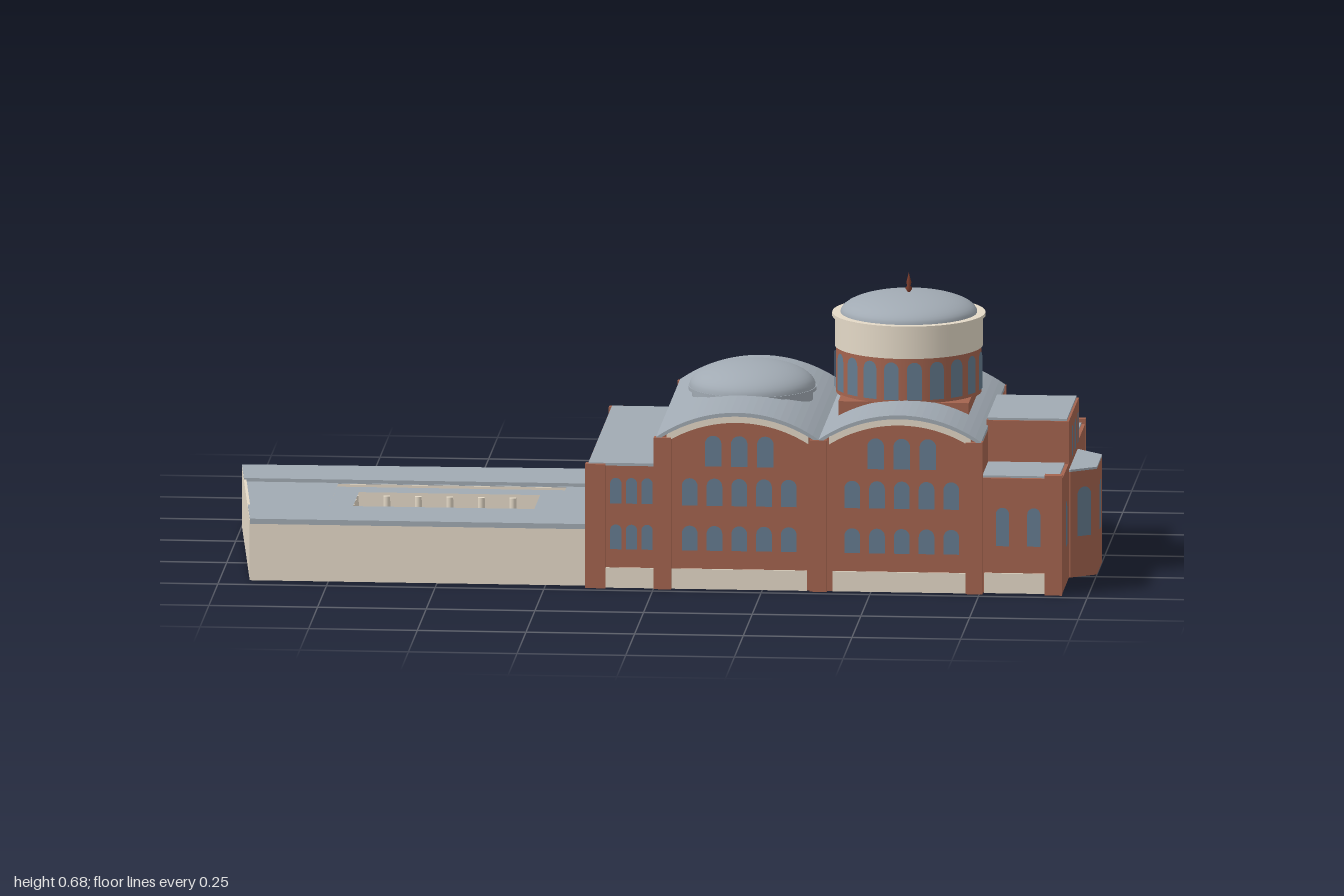
import * as THREE from 'three';

const mat = (name, color, side = THREE.FrontSide) => {
  const m = new THREE.MeshStandardMaterial({ color, side });
  m.name = name;
  return m;
};

export function createModel() {
  const model = new THREE.Group();
  const brick = mat('brick', 0xa4644f, THREE.DoubleSide);
  const cream = mat('cream stone', 0xe4d9c7);
  const lead = mat('lead roof', 0xa1aab3);
  const glass = mat('window glass', 0x657c90);
  const bronze = mat('finial bronze', 0x7a3b2b);

  const add = (name, geo, material, x = 0, y = 0, z = 0, ry = 0) => {
    const m = new THREE.Mesh(geo, material);
    m.name = name;
    m.position.set(x, y, z);
    m.rotation.y = ry;
    model.add(m);
    return m;
  };
  // Box given by its limits
  const block = (name, material, x0, x1, y0, y1, z0, z1) =>
    add(name, new THREE.BoxGeometry(x1 - x0, y1 - y0, z1 - z0), material,
      (x0 + x1) / 2, (y0 + y1) / 2, (z0 + z1) / 2);
  // Brick box standing on the ground without a floor
  const shell = (name, x0, x1, h, z0, z1) => {
    const g = block(name, brick, x0, x1, 0, h, z0, z1).geometry;
    g.setIndex([...g.index.array].filter((_, i) => i < 18 || i >= 24));
    g.clearGroups();
  };
  // Horizontal slab from a plan outline of [x, z] points, with optional hole
  const slab = (name, material, pts, y0, y1, hole) => {
    const outline = p => p.map(([x, z]) => new THREE.Vector2(x, -z));
    const s = new THREE.Shape(outline(pts));
    if (hole) s.holes.push(new THREE.Path(outline(hole)));
    const g = new THREE.ExtrudeGeometry(s, { depth: y1 - y0, bevelEnabled: false });
    return add(name, g.rotateX(-Math.PI / 2), material, 0, y0, 0);
  };
  const rect = (x0, x1, z0, z1) => [[x0, z0], [x1, z0], [x1, z1], [x0, z1]];
  // Thin upright wall between two plan points
  const wall = (name, a, b, h, t = 0.006) => {
    const dx = b[0] - a[0], dz = b[1] - a[1];
    add(name, new THREE.BoxGeometry(Math.hypot(dx, dz), h, t), cream,
      (a[0] + b[0]) / 2, h / 2, (a[1] + b[1]) / 2, -Math.atan2(dz, dx));
  };
  // Round-headed window; y is the sill
  const windowPane = (w, h, x, y, z, ry = 0) => {
    const s = new THREE.Shape();
    s.moveTo(-w / 2, 0);
    s.lineTo(w / 2, 0);
    s.lineTo(w / 2, h - w / 2);
    s.absarc(0, h - w / 2, w / 2, 0, Math.PI, false);
    add('window', new THREE.ShapeGeometry(s, 6), glass, x, y, z, ry);
  };
  const ZF = 0.465, ZB = -0.193;
  // Window row repeated on front and back walls
  const frontBackRow = (cx, n, step, w, h, y, zf = ZF, zb = ZB) => {
    for (let i = 0; i < n; i++) {
      const x = cx + (i - (n - 1) / 2) * step;
      windowPane(w, h, x, y, zf + 0.003);
      windowPane(w, h, x, y, zb - 0.003, Math.PI);
    }
  };
  const plinth = (x0, x1, zf = ZF, zb = ZB) => {
    block('plinth', cream, x0, x1, 0, 0.047, zf, zf + 0.004);
    block('plinth', cream, x0, x1, 0, 0.047, zb - 0.004, zb);
  };

  // Low entrance hall on the west
  shell('entranceHall', -0.153, 0.005, 0.285, ZB, ZF);
  block('entranceHallRoof', lead, -0.15, 0.01, 0.2855, 0.292, ZB - 0.002, ZF + 0.004);
  frontBackRow(-0.051, 3, 0.036, 0.026, 0.06, 0.197);
  frontBackRow(-0.051, 3, 0.036, 0.026, 0.058, 0.09);
  plinth(-0.11, 0);
  for (let i = 0; i < 9; i++) windowPane(0.028, 0.06, -0.156, 0.2, -0.13 + i * 0.066, -Math.PI / 2);

  // Two barrel-vaulted bays
  const half = 0.187, spring = 0.345;
  const arcPoints = (w, y, rise) => {
    const R = (w * w + rise * rise) / (2 * rise), a = Math.asin(w / R), p = [];
    for (let i = 0; i <= 24; i++) {
      const t = a - (2 * a * i) / 24;
      p.push(new THREE.Vector2(R * Math.sin(t), y + rise - R + R * Math.cos(t)));
    }
    return p;
  };
  const extrudeZ = (name, pts, z0, z1, material, cx) => add(name,
    new THREE.ExtrudeGeometry(new THREE.Shape(pts), { depth: z1 - z0, bevelEnabled: false }), material, cx, 0, z0);
  const band = (w, top, bottom, rise) => [...arcPoints(w, top, rise), ...arcPoints(w, bottom, rise).reverse()];
  for (const cx of [0.193, 0.567]) {
    shell('vaultedBay', cx - half, cx + half, spring, ZB, ZF);
    extrudeZ('bayGable', arcPoints(half, spring, 0.06), ZB, ZF, brick, cx);
    extrudeZ('vaultRoof', band(half, spring + 0.01, spring + 0.001, 0.06), ZB - 0.009, ZF + 0.01, lead, cx);
    for (const z of [ZF, ZB - 0.008])
      extrudeZ('archTrim', band(0.163, spring + 0.016, spring - 0.001, 0.047), z, z + 0.008, cream, cx);
    frontBackRow(cx + 0.004, 3, 0.06, 0.038, 0.072, 0.287);
    for (const [y, h] of [[0.195, 0.064], [0.09, 0.058]]) frontBackRow(cx + 0.004, 5, 0.057, 0.036, h, y);
    plinth(cx - 0.155, cx + 0.16);
  }

  // East wing with raised centre
  shell('eastWing', 0.754, 0.939, 0.268, -0.19, 0.457);
  for (const [z0, z1] of [[-0.183, -0.005], [0.287, 0.45]])
    block('eastWingRoof', lead, 0.755, 0.931, 0.2685, 0.273, z0, z1);
  block('sanctuary', brick, 0.75, 0.94, 0.268, 0.368, 0, 0.28);
  block('sanctuaryRoof', lead, 0.752, 0.935, 0.366, 0.373, 0.005, 0.275);
  frontBackRow(0.838, 2, 0.072, 0.03, 0.09, 0.11, 0.457, -0.19);
  plinth(0.76, 0.9, 0.457, -0.19);
  for (const z of [0.37, -0.097]) windowPane(0.042, 0.105, 0.942, 0.095, z, Math.PI / 2);
  for (const z of [0.215, 0.138, 0.061]) windowPane(0.04, 0.072, 0.943, 0.275, z, Math.PI / 2);

  // Faceted apse
  const apse = [[0.935, 0.265], [0.943, 0.265], [1, 0.224], [1, 0.08], [0.943, 0.024], [0.935, 0.024]];
  slab('apse', brick, apse, 0, 0.247);
  slab('apseRoof', lead, apse, 0.247, 0.252);
  for (const [i, w] of [[1, 0.036], [2, 0.042], [3, 0.042]]) {
    const [a, b] = [apse[i], apse[i + 1]];
    const ry = Math.atan2(a[1] - b[1], b[0] - a[0]);
    windowPane(w, 0.115, (a[0] + b[0]) / 2 + 0.002 * Math.sin(ry), 0.095,
      (a[1] + b[1]) / 2 + 0.002 * Math.cos(ry), ry);
  }

  // Pilasters on front and back: x start, x end, height
  for (const [x0, x1, h] of [[-0.157, -0.11, 0.29], [0.001, 0.041, 0.354], [0.36, 0.399, 0.354],
    [0.718, 0.757, 0.354], [0.9, 0.94, 0.28]]) {
    block('pilaster', brick, x0, x1, 0, h, 0.454, 0.478);
    block('pilaster', brick, x0, x1, 0, h, -0.205, -0.186);
  }

  // Domes
  const dome = (name, r, h, x, y, z) => {
    const p = [];
    for (let i = 0; i <= 14; i++) {
      const t = (i / 14) * Math.PI / 2;
      p.push(new THREE.Vector2(i === 14 ? 0 : r * Math.cos(t), h * Math.sin(t)));
    }
    add(name, new THREE.LatheGeometry(p, 48), lead, x, y, z);
  };
  const drum = (name, r, y0, y1, x, z, material) =>
    add(name, new THREE.CylinderGeometry(r, r, y1 - y0, 48), material, x, (y0 + y1) / 2, z);
  drum('lowDrum', 0.139, 0.35, 0.405, 0.2, 0.13, lead);
  drum('lowDomeRim', 0.147, 0.403, 0.411, 0.2, 0.13, lead);
  dome('lowDome', 0.145, 0.058, 0.2, 0.411, 0.13);

  const DX = 0.56, DZ = 0.136;
  block('drumBase', brick, DX - 0.15, DX + 0.15, 0.35, 0.408, DZ - 0.147, DZ + 0.15);
  drum('drum', 0.167, 0.405, 0.515, DX, DZ, brick);
  for (let i = 0; i < 20; i++) {
    const a = ((i + 0.5) / 20) * Math.PI * 2;
    windowPane(0.034, 0.088, DX + 0.1695 * Math.sin(a), 0.416, DZ + 0.1695 * Math.cos(a), a);
  }
  drum('drumUpperBand', 0.17, 0.513, 0.585, DX, DZ, cream);
  drum('drumCornice', 0.176, 0.582, 0.59, DX, DZ, cream);
  dome('mainDome', 0.157, 0.047, DX, 0.59, DZ);
  const spike = [[0, 0], [0.004, 0], [0.004, 0.006], [0.008, 0.012], [0.004, 0.019], [0.006, 0.026], [0, 0.05]];
  add('finial', new THREE.LatheGeometry(spike.map(p => new THREE.Vector2(...p)), 12), bronze, DX, 0.632, DZ);

  // Walled forecourt on the west, open to the sky in the middle
  const edge = z => -0.98 + z * 0.111;
  const H = 0.14, z1 = -0.02, z2 = 0.285;
  const north = [[-1, -0.178], [-0.153, -0.195], [-0.153, z1], [edge(z1), z1]];
  const south = [[edge(z2), z2], [-0.153, z2], [-0.153, 0.45], [-0.93, 0.45]];
  slab('northRangeRoof', lead, north, H - 0.008, H + 0.004);
  slab('southRangeRoof', lead, south, H - 0.008, H + 0.004);
  slab('courtRoof', lead, [[edge(z1), z1], [-0.153, z1], [-0.153, z2], [edge(z2), z2]], H - 0.018, H - 0.004,
    rect(-0.765, -0.24, z1 + 0.003, z2 - 0.003));
  slab('cloisterRoof', lead, rect(-0.768, -0.237, z1, z2), H - 0.024, H - 0.012, rect(-0.713, -0.296, 0.043, 0.228));
  wall('outerWall', [-0.998, -0.176], [-0.153, -0.193], H);
  wall('outerWall', [-0.997, -0.176], [-0.928, 0.447], H);
  wall('outerWall', [-0.93, 0.447], [-0.153, 0.447], H);
  for (const z of [z1, z2]) wall('rangeWall', [edge(z), z], [-0.153, z], H - 0.006);
  for (const x of [-0.765, -0.24]) wall('courtWall', [x, z1], [x, z2], H - 0.014);

  // Cloister columns around the opening
  const column = (x, z) => add('cloisterColumn', new THREE.CylinderGeometry(0.008, 0.009, H - 0.022, 10), cream,
    x, (H - 0.022) / 2, z);
  for (let i = 0; i < 7; i++) for (const z of [0.033, 0.238]) column(-0.722 + i * 0.0725, z);
  for (let i = 1; i < 4; i++) for (const x of [-0.722, -0.287]) column(x, 0.033 + i * 0.0512);

  // Low annex behind, open underneath
  const annex = [[-0.18, -0.19], [-0.18, -0.4], [0, -0.396], [0, -0.478], [0.17, -0.472],
    [0.17, -0.396], [0.315, -0.39], [0.315, -0.19]];
  slab('annexRoof', lead, annex, 0.13, 0.138);
  for (let i = 0; i < annex.length - 1; i++) wall('annexWall', annex[i], annex[i + 1], 0.134);

  return model;
}
